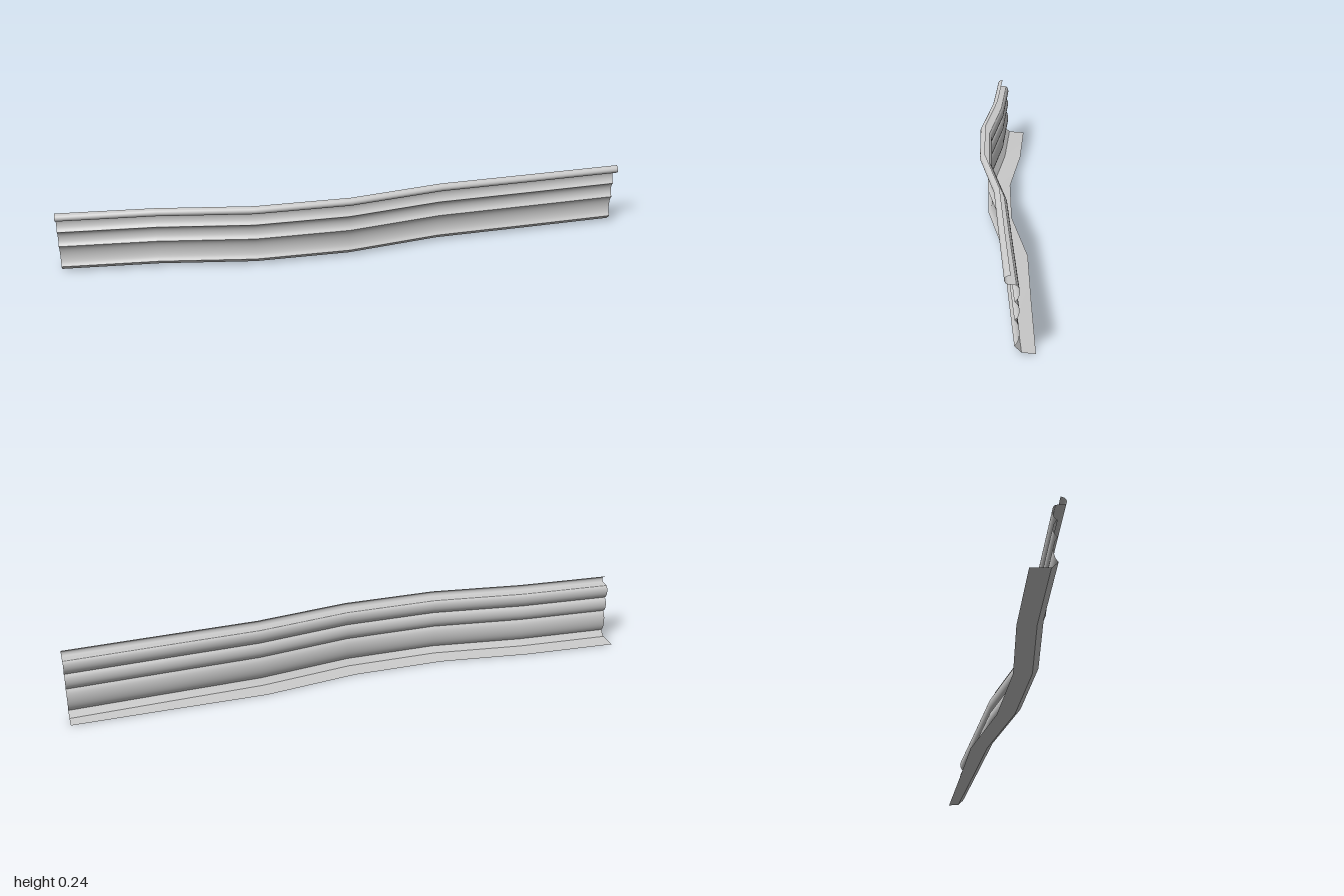
import * as THREE from 'three';

// Stations along the length: x, backward offset of the section, flange depth
const stations = [
  [-1, -0.072, 0.062], [-0.667, -0.048, 0.063], [-0.333, 0, 0.064], [0, 0, 0.064],
  [0.333, -0.048, 0.063], [0.667, -0.06, 0.051], [1, -0.073, 0.04],
];

// Concave groove between two points [z, y], bowed backward by depth
function groove(z0, y0, z1, y1, depth, n = 12) {
  return Array.from({ length: n + 1 }, (_, i) => {
    const t = i / n;
    const bow = depth * Math.sqrt(Math.max(0, 1.15 - (2 * t - 1) ** 2)) / Math.sqrt(1.15);
    const base = depth * Math.sqrt(0.15 / 1.15);
    return [z0 + (z1 - z0) * t - (bow - base) * depth / (depth - base), y0 + (y1 - y0) * t];
  });
}

// Sweep one strip of the section (bottom to top) through all stations
function strip(name, profileAt, material) {
  const positions = [], indices = [];
  const rows = stations.map(([x, dz, flange]) => {
    const row = profileAt(flange);
    row.forEach(([z, y]) => positions.push(x, y, z + dz));
    return row;
  });
  const n = rows[0].length;
  for (let s = 0; s < stations.length - 1; s++) {
    for (let i = 0; i < n - 1; i++) {
      const a = s * n + i, b = a + n;
      indices.push(a, b, b + 1, a, b + 1, a + 1);
    }
  }
  const geometry = new THREE.BufferGeometry();
  geometry.setAttribute('position', new THREE.Float32BufferAttribute(positions, 3));
  geometry.setIndex(indices);
  geometry.computeVertexNormals();
  const mesh = new THREE.Mesh(geometry, material);
  mesh.name = name;
  return mesh;
}

export function createModel() {
  const group = new THREE.Group();
  group.name = 'corrugatedPanel';
  const material = new THREE.MeshStandardMaterial({ color: 0xcccccc, side: THREE.DoubleSide });

  // Rolled lip: flat underside, then a rounded front edge turning back on top
  const lip = new THREE.SplineCurve([
    [0.08, 0.213], [0.086, 0.216], [0.09, 0.225], [0.087, 0.233], [0.081, 0.237], [0.072, 0.239],
  ].map(([z, y]) => new THREE.Vector2(z, y))).getPoints(14).map((p) => [p.x, p.y]);

  const parts = {
    bottomFlange: (depth) => [[0.042 - depth, 0], [0.042, 0.005]],
    lowerBevel: () => [[0.042, 0.005], [0.062, 0.025]],
    lowerGroove: () => groove(0.062, 0.025, 0.062, 0.105, 0.014),
    middleGroove: () => groove(0.062, 0.105, 0.062, 0.16, 0.014),
    upperGroove: () => groove(0.062, 0.16, 0.057, 0.21, 0.012),
    lipUnderside: () => [[0.057, 0.21], [0.08, 0.213]],
    topLip: () => lip,
  };
  for (const [name, profile] of Object.entries(parts)) group.add(strip(name, profile, material));
  return group;
}
